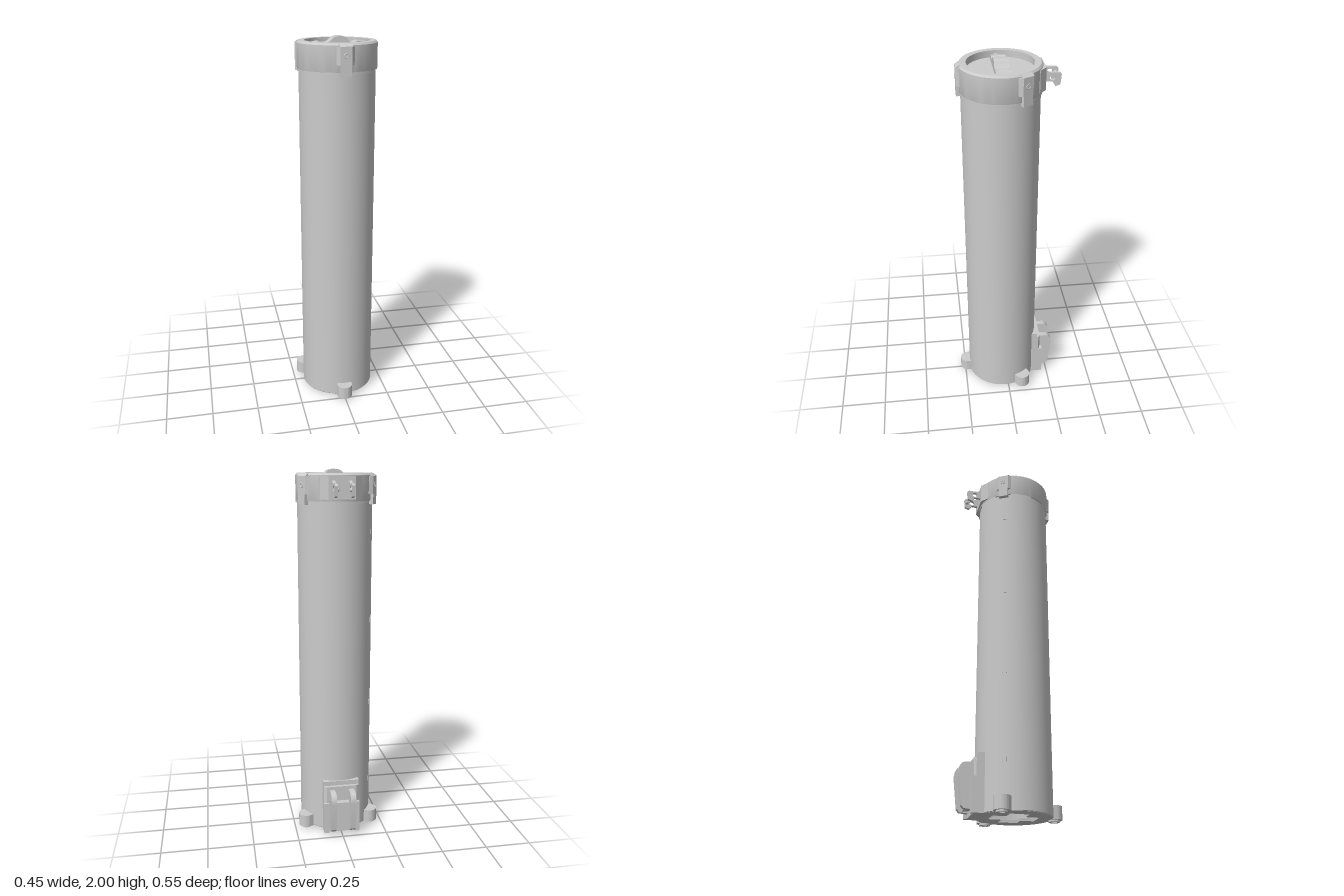
import * as THREE from 'three';
import { toCreasedNormals } from 'three/addons/utils/BufferGeometryUtils.js';

const grey = new THREE.MeshStandardMaterial({ color: 0xcccccc, side: THREE.DoubleSide });

function add(parent, name, geometry, x = 0, y = 0, z = 0) {
  const mesh = new THREE.Mesh(toCreasedNormals(geometry, 0.5), grey);
  mesh.name = name;
  mesh.position.set(x, y, z);
  parent.add(mesh);
  return mesh;
}

// box given by its limits on each axis
function block(parent, name, x0, x1, y0, y1, z0, z1) {
  return add(parent, name, new THREE.BoxGeometry(x1 - x0, y1 - y0, z1 - z0),
    (x0 + x1) / 2, (y0 + y1) / 2, (z0 + z1) / 2);
}

const polygon = (pts) => new THREE.Shape(pts.map(([a, b]) => new THREE.Vector2(a, b)));
const lathe = (pts) => new THREE.LatheGeometry(pts.map(([r, y]) => new THREE.Vector2(r, y)), 72);

// side profile (outward, up) extruded over a width around x
function sideProfile(parent, name, shape, width, x = 0) {
  const g = new THREE.ExtrudeGeometry(shape, { depth: width, bevelEnabled: false, curveSegments: 12 });
  g.rotateY(-Math.PI / 2).translate(width / 2, 0, 0);
  return add(parent, name, g, x);
}

// plan outline (x, outward) extruded upwards from y0 to y1
function plan(parent, name, shape, y0, y1) {
  const g = new THREE.ExtrudeGeometry(shape, { depth: y1 - y0, bevelEnabled: false, curveSegments: 36 });
  g.rotateX(Math.PI / 2);
  return add(parent, name, g, 0, y1, 0);
}

// group whose +z points outward at an angle round the tube
function radial(parent, name, angle) {
  const g = new THREE.Group();
  g.name = name;
  g.rotation.y = angle;
  parent.add(g);
  return g;
}

export function createModel() {
  const root = new THREE.Group();
  root.name = 'canister';
  const tube = new THREE.Group();
  tube.name = 'tube';
  tube.position.z = 0.022;
  root.add(tube);

  // hollow body with a cross-shaped opening in the base
  add(tube, 'body', lathe([[0.196, 0.01], [0.2, 0.014], [0.2, 1.85]]));
  const base = new THREE.Shape().absarc(0, 0, 0.197, 0, Math.PI * 2);
  const a = 0.05, b = 0.12;
  base.holes.push(polygon([[a, a], [b, a], [b, -a], [a, -a], [a, -b], [-a, -b],
    [-a, -a], [-b, -a], [-b, a], [-a, a], [-a, b], [a, b]]));
  plan(tube, 'base', base, 0.01, 0.025);

  // lid with a sunken top
  add(tube, 'lid', lathe([[0.198, 1.84], [0.207, 1.84], [0.208, 1.843], [0.208, 1.97],
    [0.2, 1.98], [0.168, 1.98], [0.168, 1.945], [0, 1.945]]));
  for (let i = 0; i < 6; i++) {
    const arc = new THREE.CylinderGeometry(0.207, 0.207, 0.012, 16, 1, true, i * Math.PI / 3 + 0.2, 0.6);
    add(tube, 'lidSkirt', arc, 0, 1.835, 0);
  }

  // wavy turning handle
  const wave = polygon([[-0.14, 1.945], [0.16, 1.945], [0.16, 1.968]]);
  wave.lineTo(0.1, 1.976);
  wave.quadraticCurveTo(0.07, 1.962, 0.058, 1.972);
  wave.lineTo(0.042, 1.994);
  wave.quadraticCurveTo(0.005, 2.006, -0.025, 1.994);
  wave.lineTo(-0.045, 1.974);
  wave.quadraticCurveTo(-0.07, 1.962, -0.1, 1.976);
  wave.lineTo(-0.14, 1.968);
  const bar = new THREE.ExtrudeGeometry(wave, { depth: 0.073, bevelEnabled: false });
  add(tube, 'handle', bar, 0, 0, -0.037);
  const pin = new THREE.CylinderGeometry(0.028, 0.028, 0.33, 20, 1, false, -Math.PI / 2, Math.PI);
  pin.scale(1, 1, 0.95).rotateZ(Math.PI / 2);
  pin.scale(1, 0.7, 1);
  add(tube, 'handlePin', pin, -0.002, 1.945, 0);

  // feet and lid latches at three angles
  for (const angle of [0, Math.PI * 2 / 3, -Math.PI * 2 / 3]) {
    const lug = radial(tube, 'foot', angle);
    const outline = new THREE.Shape();
    outline.moveTo(-0.042, 0.192);
    outline.lineTo(-0.042, 0.2137);
    outline.absarc(0, 0.2137, 0.042, Math.PI, 0, true);
    outline.lineTo(0.042, 0.192);
    plan(lug, 'footLug', outline, 0.01, 0.08);
    add(lug, 'footRing', lathe([[0.015, 0.01], [0.015, 0], [0.029, 0], [0.029, 0.01]]), 0, 0, 0.2137);

    const latch = radial(tube, 'latch', angle);
    plan(latch, 'latchPlate', polygon([[-0.045, 0.19], [-0.045, 0.205], [-0.03, 0.222],
      [0.03, 0.222], [0.045, 0.205], [0.045, 0.19]]), 1.875, 1.965);
    sideProfile(latch, 'latchTop', polygon([[0.19, 1.965], [0.222, 1.965], [0.205, 1.978], [0.19, 1.978]]), 0.066);
    block(latch, 'latchTongue', -0.027, 0.027, 1.822, 1.876, 0.2, 0.222);
    const stud = new THREE.TorusGeometry(0.011, 0.003, 8, 20);
    add(latch, 'latchStud', stud, 0, 1.92, 0.222);
  }

  // row of small nibs up one side
  const nibs = radial(tube, 'nibs', -Math.PI * 2 / 3 + 0.04);
  for (const y of [0.26, 0.73, 1.2, 1.68]) {
    block(nibs, 'nib', -0.012, 0.012, y - 0.012, y + 0.012, 0.192, 0.203);
  }

  // lid hinge on the back
  const back = radial(tube, 'backParts', Math.PI);
  plan(back, 'hingeMount', polygon([[-0.11, 0.165], [-0.11, 0.18], [-0.07, 0.215],
    [0.07, 0.215], [0.11, 0.18], [0.11, 0.165]]), 1.85, 1.965);
  for (const s of [-1, 1]) {
    const ear = polygon([[0.2, 1.885], [0.25, 1.885], [0.265, 1.86], [0.29, 1.868],
      [0.295, 1.92], [0.285, 1.93], [0.235, 1.93], [0.2, 1.955]]);
    ear.holes.push(new THREE.Path().absarc(0.25, 1.905, 0.014, 0, Math.PI * 2, true));
    sideProfile(back, 'hingeEar', ear, 0.014, s * 0.043);
    const knob = new THREE.SphereGeometry(0.011, 12, 8);
    add(back, 'hingeKnob', knob, s * 0.036, 1.9, 0.28);
  }

  // clip at the foot of the back
  block(back, 'clipPlate', -0.1, 0.1, 0.01, 0.31, 0.16, 0.207);
  plan(back, 'clipStep', polygon([[-0.1, 0.2], [-0.1, 0.215], [-0.085, 0.225],
    [0.085, 0.225], [0.1, 0.215], [0.1, 0.2]]), 0.01, 0.285);
  for (const s of [-1, 1]) {
    block(back, 'clipGuide', s * 0.086 - 0.014, s * 0.086 + 0.014, 0.01, 0.19, 0.2, 0.238);
    const lever = polygon([[0.21, 0.03], [0.27, 0.035], [0.282, 0.05], [0.298, 0.2]]);
    lever.quadraticCurveTo(0.302, 0.262, 0.262, 0.266);
    lever.lineTo(0.21, 0.266);
    sideProfile(back, 'clipLever', lever, 0.03, s * 0.054);
  }
  block(back, 'clipWeb', -0.042, 0.042, 0.04, 0.2, 0.21, 0.257);
  return root;
}
